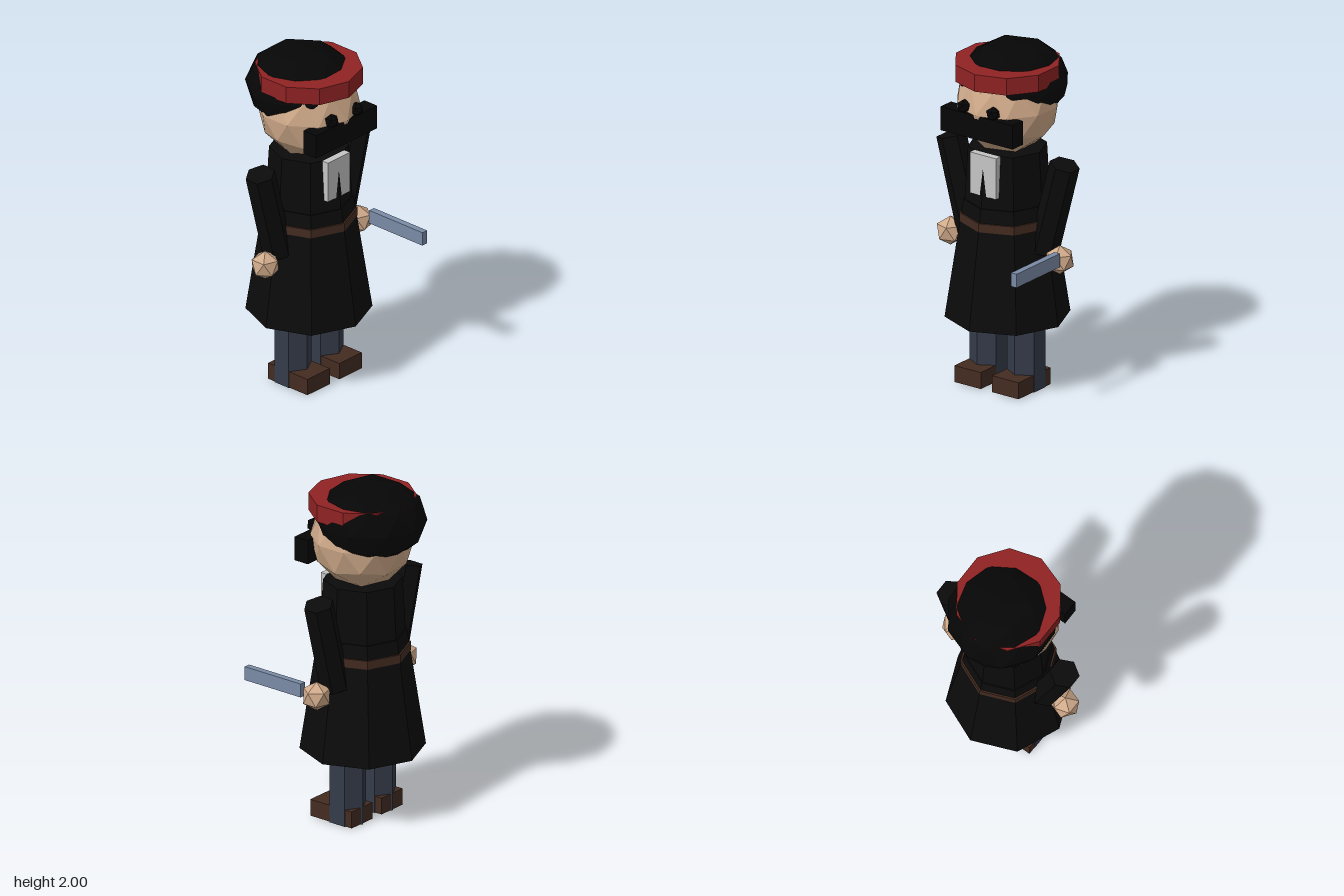
import * as THREE from 'three';

const material = (name, color) => {
  const m = new THREE.MeshStandardMaterial({ color, flatShading: true });
  m.name = name;
  return m;
};

export function createModel() {
  const model = new THREE.Group();
  model.name = 'figure';

  const black = material('black cloth', 0x0b0b0b);
  const hairBlack = material('black hair', 0x060606);
  const skin = material('skin', 0xd0aa8a);
  const red = material('red band', 0x8f2223);
  const brown = material('brown leather', 0x432b20);
  const blue = material('dark blue trousers', 0x343b49);
  const white = material('white linen', 0xc4c4c4);
  const steel = material('steel', 0x7a8ba6);

  const AXIS = -0.06; // z of the body's centre line

  const add = (name, geometry, mat, x, y, z) => {
    const mesh = new THREE.Mesh(geometry, mat);
    mesh.name = name;
    mesh.position.set(x, y, z);
    model.add(mesh);
    return mesh;
  };
  // Box given by its limits on each axis
  const box = (name, mat, [x0, x1], [y0, y1], [z0, z1]) =>
    add(name, new THREE.BoxGeometry(x1 - x0, y1 - y0, z1 - z0), mat,
      (x0 + x1) / 2, (y0 + y1) / 2, (z0 + z1) / 2);
  // Upright prism between two heights
  const prism = (name, mat, rTop, rBottom, y0, y1, sides, x = 0) =>
    add(name, new THREE.CylinderGeometry(rTop, rBottom, y1 - y0, sides), mat, x, (y0 + y1) / 2, AXIS);
  // Faceted ball with one corner straight up
  const ball = (name, mat, r, detail, x, y, z) =>
    add(name, new THREE.IcosahedronGeometry(r, detail).rotateZ(-0.5536), mat, x, y, z);

  // Coat and belt
  prism('coatTop', black, 0.22, 0.24, 1.05, 1.4, 8);
  prism('coatSkirt', black, 0.245, 0.35, 0.4, 1.09, 8);
  prism('belt', brown, 0.267, 0.267, 0.96, 1.01, 8);

  // Neckcloth, split below by the front edge of the coat
  box('neckcloth', white, [-0.09, 0.09], [1.16, 1.401], [0.125, 0.1645]);

  // Head, hair, headband and beard
  ball('head', skin, 0.29, 1, 0, 1.655, AXIS);
  ball('hair', hairBlack, 0.31, 1, 0, 1.77, -0.12).scale.y = 0.74;
  prism('headband', red, 0.3, 0.3, 1.8, 1.9, 10);
  box('beard', hairBlack, [-0.248, 0.248], [1.51, 1.65], [0.128, 0.222]);

  for (const side of [-1, 1]) {
    const label = side > 0 ? 'left' : 'right';
    ball(label + 'Eye', hairBlack, 0.042, 0, side * 0.1, 1.68, 0.203);

    // Arm leaning outwards at the shoulder
    const arm = add(label + 'Arm', new THREE.CylinderGeometry(0.085, 0.085, 0.55, 6), black,
      side * 0.32, 1.1, -0.065);
    arm.rotation.z = -side * 0.26;
    ball(label + 'Hand', skin, 0.085, 0, side * 0.377, 0.81, -0.04);

    // Leg and shoe
    const x = side * 0.13;
    prism(label + 'Leg', blue, 0.107, 0.107, 0, 0.45, 6, x);
    box(label + 'Shoe', brown, [x - 0.091, x + 0.091], [0.003, 0.1], [-0.162, 0.132]);
  }

  // Blade held in the left hand
  box('blade', steel, [0.392, 0.43], [0.8, 0.88], [0.03, 0.428]);

  return model;
}
